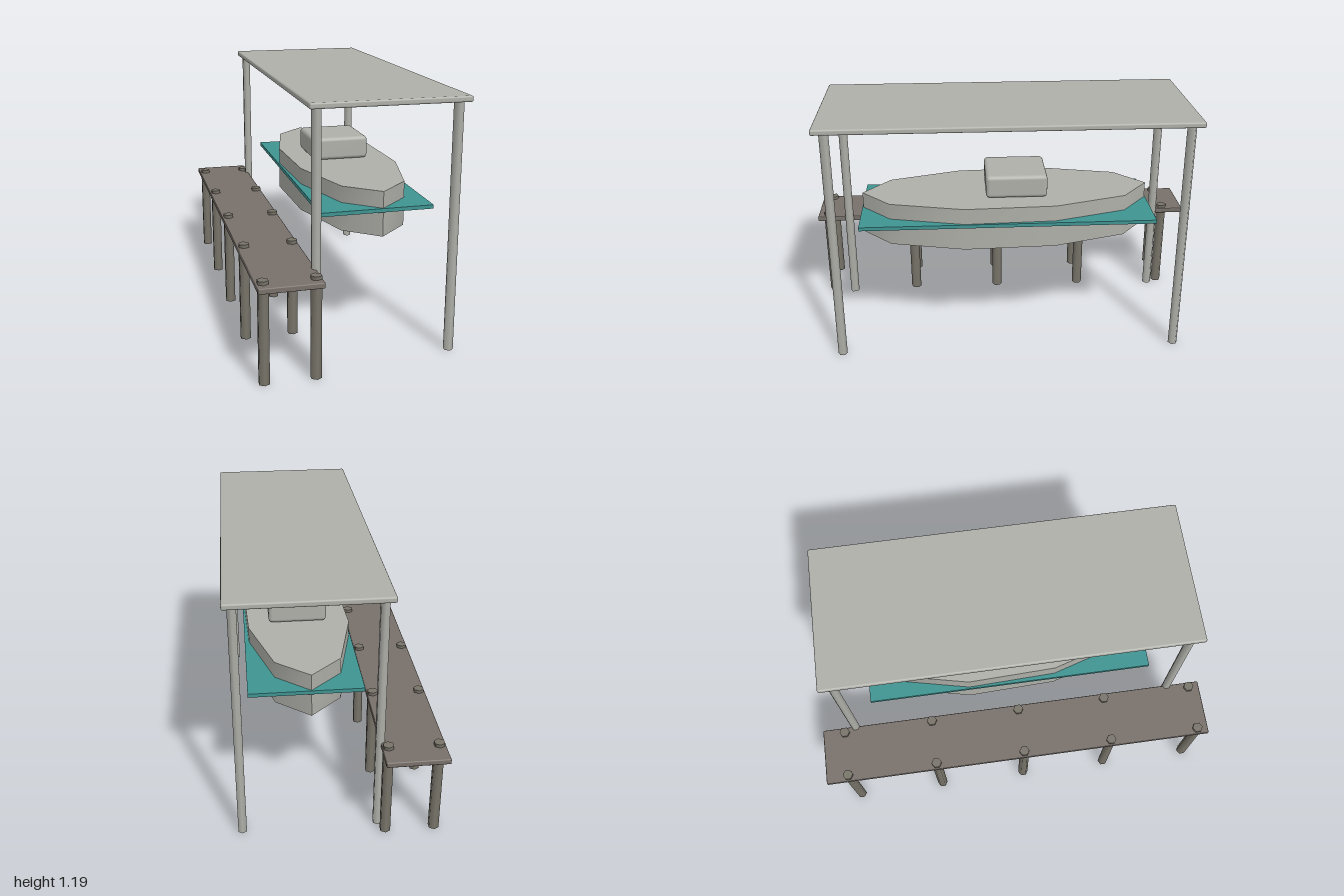
import * as THREE from 'three';
import { toCreasedNormals } from 'three/addons/utils/BufferGeometryUtils.js';
import { RoundedBoxGeometry } from 'three/addons/geometries/RoundedBoxGeometry.js';

const material = (name, color) => {
  const m = new THREE.MeshStandardMaterial({ color });
  m.name = name;
  return m;
};

export function createModel() {
  const grey = material('pale grey', 0xb0b0aa);
  const timber = material('weathered timber', 0x78706a);
  const pileTimber = material('pile timber', 0x78746a);
  const teal = material('teal stripe', 0x3f9492);

  const model = new THREE.Group();
  model.name = 'boatLift';

  const add = (parent, name, geometry, mat, x, y, z) => {
    const mesh = new THREE.Mesh(geometry, mat);
    mesh.name = name;
    mesh.position.set(x, y, z);
    parent.add(mesh);
    return mesh;
  };
  const group = (name) => {
    const g = new THREE.Group();
    g.name = name;
    model.add(g);
    return g;
  };

  // Walkway on two rows of hexagonal piles that poke through the deck
  const dock = group('dock');
  add(dock, 'deck', new RoundedBoxGeometry(0.285, 0.026, 2, 1, 0.005), timber, -0.339, 0.443, 0);
  const pile = toCreasedNormals(new THREE.CylinderGeometry(0.026, 0.026, 0.472, 6), 1.2);
  for (let i = 0; i < 5; i++) {
    for (const x of [-0.451, -0.223]) {
      add(dock, 'dockPile', pile, pileTimber, x, 0.236, 0.943 - i * 0.4575);
    }
  }

  // Flat canopy on four slim posts
  const canopy = group('canopy');
  add(canopy, 'roof', new RoundedBoxGeometry(0.712, 0.027, 1.77, 2, 0.008), grey, 0.12, 1.173, 0);
  const post = toCreasedNormals(new THREE.CylinderGeometry(0.0225, 0.0225, 1.165, 6), 1.2);
  for (const x of [-0.195, 0.434]) {
    for (const z of [-0.83, 0.83]) add(canopy, 'canopyPost', post, grey, x, 0.5825, z);
  }

  // Pointed ten-sided hull, turned slightly at its mooring
  const boat = group('boat');
  const hull = new THREE.CylinderGeometry(1, 1, 0.212, 10).scale(0.26, 1, 0.711);
  hull.rotateY(0.033);
  add(boat, 'hull', toCreasedNormals(hull, 0.7), grey, 0.1225, 0.636, 0);
  add(boat, 'rubbingBand', new THREE.BoxGeometry(0.524, 0.018, 1.43), teal, 0.1215, 0.655, 0);
  add(boat, 'cabin', new RoundedBoxGeometry(0.284, 0.114, 0.3, 3, 0.02), grey, 0.12, 0.8, -0.046);

  return model;
}
